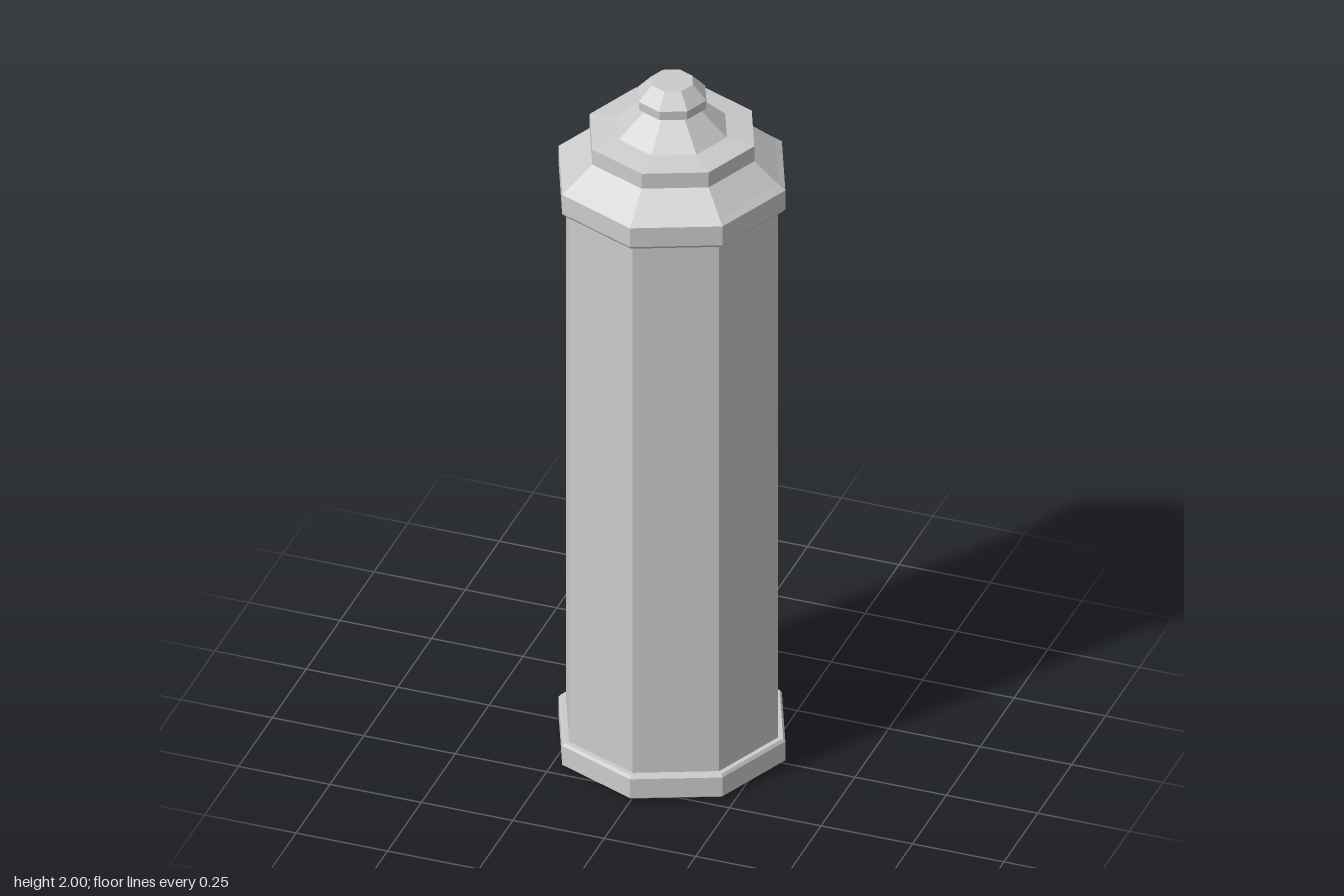
import * as THREE from 'three';

const SIDES = 8;

export function createModel() {
  const group = new THREE.Group();
  group.name = 'octagonalCanister';
  const material = new THREE.MeshStandardMaterial({ color: 0xcccccc, flatShading: true });

  // Eight-sided turned part from a [radius, height] profile, bottom to top
  const turned = (name, profile) => {
    const points = profile.map(([r, y]) => new THREE.Vector2(r, y));
    const mesh = new THREE.Mesh(new THREE.LatheGeometry(points, SIDES), material);
    mesh.name = name;
    group.add(mesh);
  };

  // Foot ring with closed underside and small chamfers
  turned('baseRing', [[0, 0], [0.295, 0], [0.31, 0.01], [0.31, 0.067], [0.304, 0.075], [0.29, 0.075]]);

  // Straight column
  turned('body', [[0.29, 0.075], [0.29, 1.67]]);

  // Overhanging rim and sloped shoulder
  turned('rim', [[0.29, 1.67], [0.304, 1.67], [0.31, 1.678], [0.31, 1.735]]);
  turned('shoulder', [[0.31, 1.735], [0.29, 1.75], [0.225, 1.805]]);

  // Upper step with a nearly flat ledge
  turned('upperStep', [[0.225, 1.805], [0.225, 1.85], [0.15, 1.861]]);

  // Tapered neck and faceted knob
  turned('neck', [[0.15, 1.861], [0.07, 1.934]]);
  turned('knob', [[0.07, 1.934], [0.092, 1.934], [0.094, 1.96], [0.057, 2], [0, 2]]);

  return group;
}
